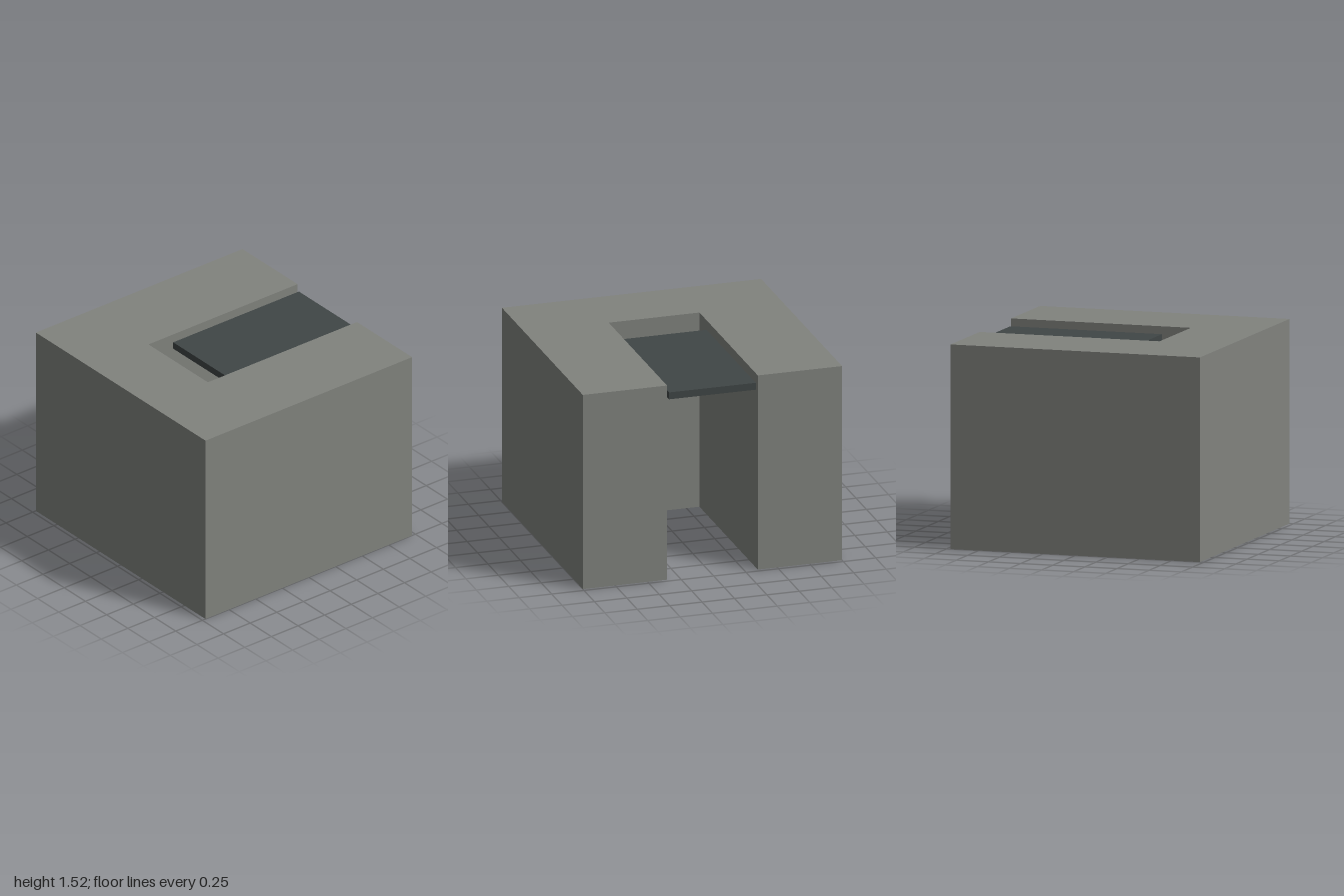
import * as THREE from 'three';

export function createModel() {
  const group = new THREE.Group();
  const stone = new THREE.MeshStandardMaterial({ color: 0x81837e });
  stone.name = 'stone grey';
  const slate = new THREE.MeshStandardMaterial({ color: 0x404646 });
  slate.name = 'dark slate';

  const height = 1.52, halfDepth = 0.97, slot = 0.35, slotEnd = 0.43;

  // U-shaped block, open at the back; drawn in plan (shape y = -z) and raised
  const plan = new THREE.Shape([
    [-1, -halfDepth], [1, -halfDepth], [1, halfDepth], [slot, halfDepth],
    [slot, -slotEnd], [-slot, -slotEnd], [-slot, halfDepth], [-1, halfDepth],
  ].map(([x, y]) => new THREE.Vector2(x, y)));
  const blockGeometry = new THREE.ExtrudeGeometry(plan, { depth: height, bevelEnabled: false });
  blockGeometry.rotateX(-Math.PI / 2);
  const block = new THREE.Mesh(blockGeometry, stone);
  block.name = 'slottedBlock';
  group.add(block);

  // Thin slab set just below the top of the slot
  const slabFront = 0.21, slabTop = 1.464, slabThickness = 0.054;
  const slab = new THREE.Mesh(
    new THREE.BoxGeometry(0.67, slabThickness, slabFront + halfDepth), slate);
  slab.position.set(0, slabTop - slabThickness / 2, (slabFront - halfDepth) / 2);
  slab.name = 'slotCover';
  group.add(slab);

  return group;
}
